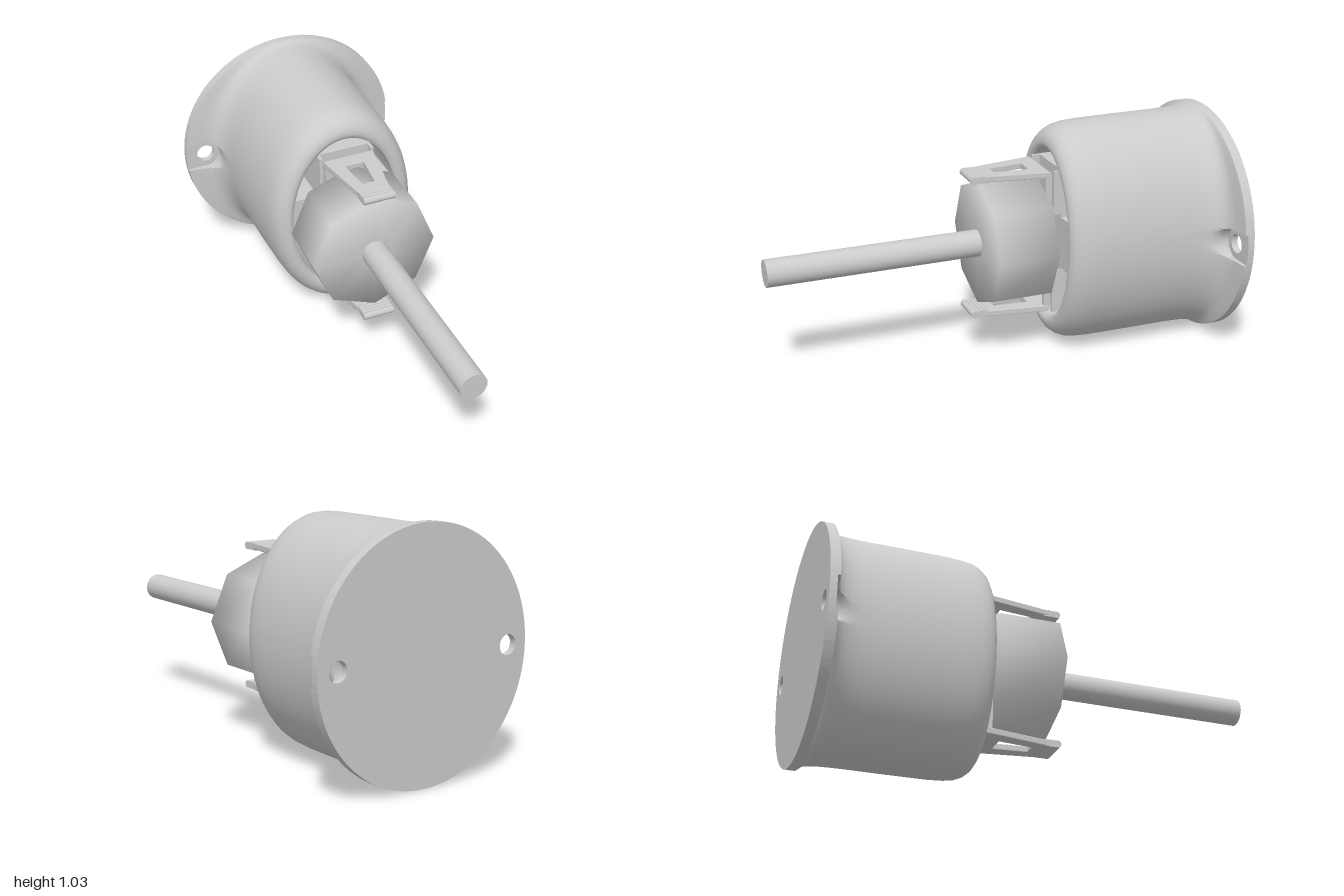
import * as THREE from 'three';
import { toCreasedNormals } from 'three/addons/utils/BufferGeometryUtils.js';

const material = new THREE.MeshStandardMaterial({ color: 0xcccccc });

function add(parent, name, geometry, x = 0, y = 0, z = 0) {
  const mesh = new THREE.Mesh(geometry, material);
  mesh.name = name;
  mesh.position.set(x, y, z);
  parent.add(mesh);
  return mesh;
}

// Notch radius around each screw hole, and hole centre
const NOTCH = 0.067, HOLE_X = 0.42;

// Angles round the oval, with tight pairs at the notch edges
function columnAngles() {
  const angles = [];
  for (let i = 0; i < 96; i++) angles.push((i / 96) * Math.PI * 2);
  const edge = Math.asin(NOTCH / 0.5);
  for (const base of [0, Math.PI])
    for (const s of [-1, 1])
      for (const e of [-0.001, 0.001, -0.012, -0.03])
        angles.push((base + s * (edge + e) + Math.PI * 2) % (Math.PI * 2));
  return angles.sort((a, b) => a - b);
}

// Skins oval rings [halfWidth, halfHeight, z], ordered so the outside faces out
function loftOvals(rings, notched) {
  const angles = columnAngles(), n = angles.length;
  const positions = [], index = [];
  rings.forEach(([a, b, z], i) => {
    angles.forEach((t, j) => {
      let x = a * Math.cos(t);
      const dy = 0.5 * Math.sin(t);
      if (notched && Math.abs(dy) < NOTCH) {
        const limit = HOLE_X - Math.sqrt(NOTCH * NOTCH - dy * dy);
        x = Math.sign(x) * Math.min(Math.abs(x), Math.max(0.345 * Math.abs(Math.cos(t)), limit));
      }
      positions.push(x, b * Math.sin(t), z);
      if (i === rings.length - 1) return;
      const k = (j + 1) % n;
      const p = i * n + j, q = p + n, r = i * n + k, s = r + n;
      index.push(p, q, r, r, q, s);
    });
  });
  const g = new THREE.BufferGeometry();
  g.setAttribute('position', new THREE.Float32BufferAttribute(positions, 3));
  g.setIndex(index);
  return toCreasedNormals(g, 0.75);
}

function buildHousing(parent) {
  // Rounded front lip, oval wall, and the flare into the round flange
  const shell = [
    [0.25, 0.388, -0.256], [0.258, 0.398, -0.248], [0.27, 0.411, -0.245],
    [0.288, 0.433, -0.249], [0.306, 0.456, -0.262], [0.32, 0.475, -0.284],
    [0.33, 0.489, -0.315], [0.336, 0.496, -0.355], [0.34, 0.5, -0.42], [0.345, 0.501, -0.6],
  ];
  const flare = [[0, -0.78], [0.03, -0.835], [0.08, -0.875], [0.16, -0.905], [0.27, -0.928],
    [0.42, -0.942], [0.6, -0.949], [0.8, -0.953], [1, -0.958], [1, -0.97]];
  for (const [f, z] of flare) shell.push([0.345 + f * 0.17, 0.501 + f * 0.014, z]);
  add(parent, 'housingShell', loftOvals(shell, true));

  // Open socket recess in the front
  add(parent, 'socketRecess', loftOvals([
    [0.001, 0.001, -0.5], [0.25, 0.388, -0.5], [0.25, 0.388, -0.256],
  ], false));

  // Flange plate with two screw holes
  const disc = new THREE.Shape().absarc(0, 0, 0.515, 0, Math.PI * 2);
  for (const s of [-1, 1])
    disc.holes.push(new THREE.Path().absarc(s * HOLE_X, 0, 0.042, 0, Math.PI * 2, true));
  add(parent, 'flangePlate',
    new THREE.ExtrudeGeometry(disc, { depth: 0.03, bevelEnabled: false, curveSegments: 48 }), 0, 0, -1);

  // Socket insert with side tabs
  add(parent, 'socketInsert', new THREE.BoxGeometry(0.25, 0.655, 0.22), 0, 0, -0.38);
  for (const s of [-1, 1])
    add(parent, 'socketSideTab', new THREE.BoxGeometry(0.13, 0.23, 0.2), s * 0.182, 0, -0.37);
}

function buildPlug(parent) {
  // Eight-sided plug, softly shaded across its edges
  const outline = [[0, -0.2], [0.28, -0.2], [0.28, 0.068], [0.05, 0.068]]
    .map(([r, z]) => new THREE.Vector2(r, z));
  add(parent, 'plug', new THREE.LatheGeometry(outline, 8)).rotation.x = Math.PI / 2;

  // Straight cable
  add(parent, 'cable', new THREE.CylinderGeometry(0.059, 0.059, 0.94, 40), 0, 0, 0.53)
    .rotation.x = Math.PI / 2;
}

function trapezoid(Type, back, wBack, front, wFront) {
  return new Type([[-wBack, back], [wBack, back], [wFront, front], [-wFront, front]]
    .map(([x, z]) => new THREE.Vector2(x, z)));
}

function buildClip() {
  const clip = new THREE.Group();
  clip.name = 'lockingClip';

  // Tapered arm with a window, lying above the plug
  const arm = trapezoid(THREE.Shape, -0.215, 0.112, 0.06, 0.066);
  arm.holes.push(trapezoid(THREE.Path, -0.155, 0.047, 0.005, 0.03));
  const armGeometry = new THREE.ExtrudeGeometry(arm, {
    depth: 0.02, bevelThickness: 0.004, bevelSize: 0.004, bevelSegments: 2,
  });
  add(clip, 'clipArm', armGeometry, 0, 0.32, 0).rotation.x = Math.PI / 2;

  // Ribbed finger grip
  add(clip, 'clipGrip', new THREE.BoxGeometry(0.13, 0.024, 0.07), 0, 0.308, 0.08);
  for (let i = 0; i < 4; i++)
    add(clip, 'gripRib', new THREE.CylinderGeometry(0.0165, 0.0165, 0.14, 12), 0, 0.308, 0.05 + i * 0.018)
      .rotation.z = Math.PI / 2;

  // Rounded bend and the two legs running down behind the plug
  add(clip, 'clipBend', new THREE.CylinderGeometry(0.016, 0.016, 0.225, 16), 0, 0.307, -0.215)
    .rotation.z = Math.PI / 2;
  for (const s of [-1, 1]) {
    add(clip, 'clipLeg', new THREE.BoxGeometry(0.025, 0.18, 0.028), s * 0.1, 0.217, -0.217);
    add(clip, 'socketPost', new THREE.BoxGeometry(0.014, 0.195, 0.075), s * 0.12, 0.228, -0.272);
  }
  add(clip, 'clipFoot', new THREE.BoxGeometry(0.225, 0.025, 0.028), 0, 0.14, -0.217);
  return clip;
}

export function createModel() {
  const model = new THREE.Group();
  model.name = 'wallSocketWithPlug';
  const body = new THREE.Group();
  body.name = 'socketAssembly';
  body.position.y = 0.518;
  model.add(body);

  buildHousing(body);
  buildPlug(body);

  // Matching clips above and below
  for (const turn of [0, Math.PI]) {
    const clip = buildClip();
    clip.rotation.z = turn;
    body.add(clip);
  }
  return model;
}
